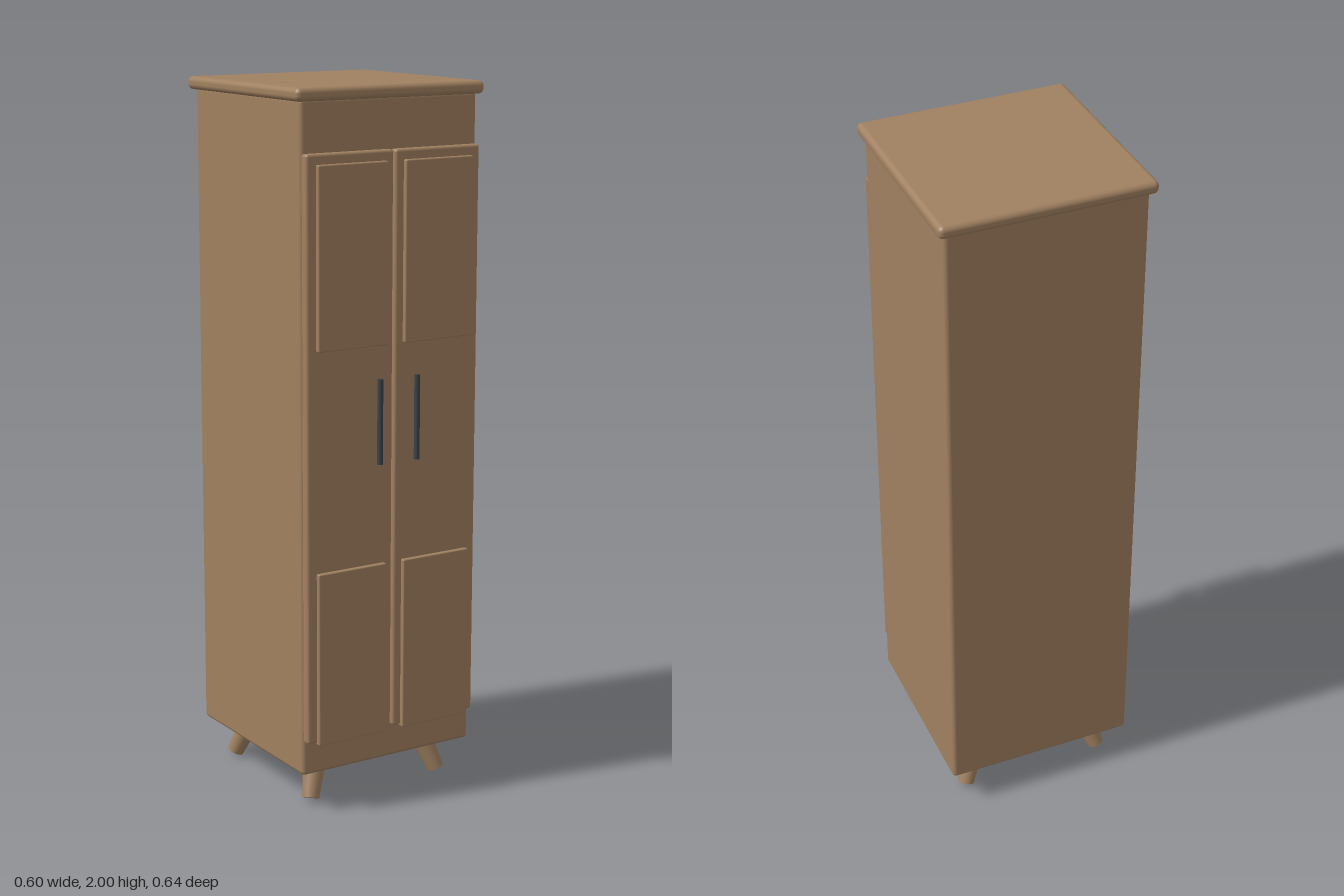
import * as THREE from 'three';
import { RoundedBoxGeometry } from 'three/addons/geometries/RoundedBoxGeometry.js';

export function createModel() {
  const group = new THREE.Group();
  group.name = 'cabinet';
  const wood = new THREE.MeshStandardMaterial({ name: 'wood', color: 0xa08060 });
  const metal = new THREE.MeshStandardMaterial({ name: 'dark metal', color: 0x3a4248 });

  const add = (name, geometry, material, x, y, z) => {
    const mesh = new THREE.Mesh(geometry, material);
    mesh.name = name;
    mesh.position.set(x, y, z);
    group.add(mesh);
    return mesh;
  };
  // Rounded box given by its minimum and maximum corners
  const box = (name, [x0, y0, z0], [x1, y1, z1], radius) =>
    add(name, new RoundedBoxGeometry(x1 - x0, y1 - y0, z1 - z0, 4, radius), wood,
      (x0 + x1) / 2, (y0 + y1) / 2, (z0 + z1) / 2);

  // Carcass and overhanging top
  box('body', [-0.28, 0.112, -0.3], [0.28, 1.972, 0.262], 0.012);
  box('top', [-0.298, 1.964, -0.319], [0.298, 2, 0.277], 0.015);

  const up = new THREE.Vector3(0, 1, 0);
  for (const side of [-1, 1]) {
    const label = side > 0 ? 'left' : 'right';
    const span = (a, b) => (side > 0 ? [a, b] : [-b, -a]);

    // Door with two raised panels
    const [d0, d1] = span(0.003, 0.276);
    box(label + 'Door', [d0, 0.21, 0.255], [d1, 1.83, 0.284], 0.008);
    const [p0, p1] = span(0.028, 0.247);
    box(label + 'UpperPanel', [p0, 1.308, 0.274], [p1, 1.802, 0.297], 0.004);
    box(label + 'LowerPanel', [p0, 0.205, 0.274], [p1, 0.697, 0.297], 0.004);

    // Bar handle
    add(label + 'Handle', new THREE.CylinderGeometry(0.008, 0.008, 0.236, 24), metal,
      side * 0.06, 1.102, 0.309);

    // Tapered legs splayed outward along the diagonals
    for (const end of [-1, 1]) {
      const foot = new THREE.Vector3(side * 0.214, 0.011, -0.019 + end * 0.214);
      const head = new THREE.Vector3(side * 0.176, 0.125, -0.019 + end * 0.176);
      const axis = head.clone().sub(foot);
      const mid = head.clone().add(foot).multiplyScalar(0.5);
      const leg = add(label + (end > 0 ? 'FrontLeg' : 'BackLeg'),
        new THREE.CylinderGeometry(0.034, 0.024, axis.length(), 32), wood, mid.x, mid.y, mid.z);
      leg.quaternion.setFromUnitVectors(up, axis.normalize());
    }
  }
  return group;
}
